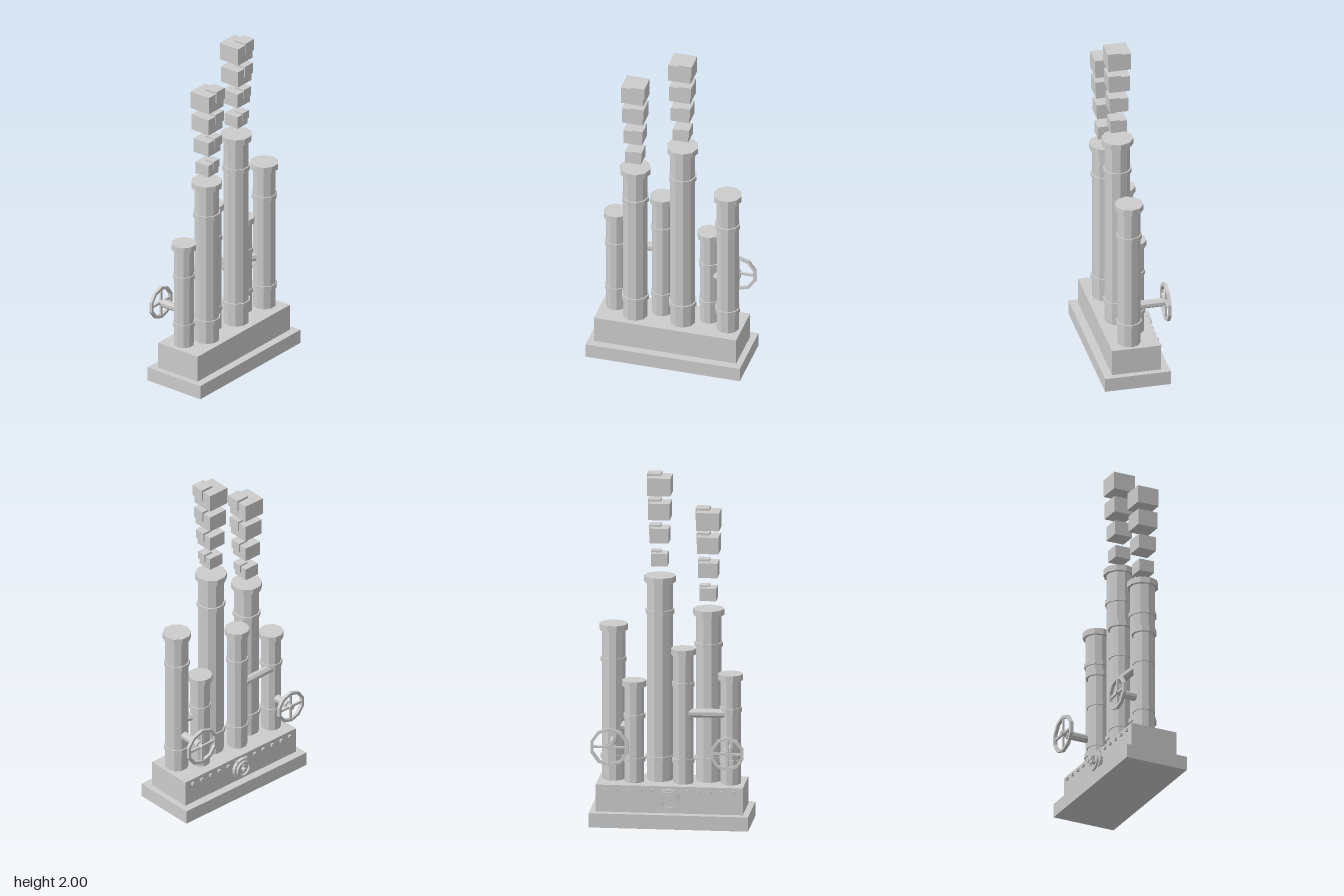
import * as THREE from 'three';

export function createModel() {
  const model = new THREE.Group();
  model.name = 'chimneyStacks';
  const grey = new THREE.MeshStandardMaterial({ color: 0xcccccc, flatShading: true });
  grey.name = 'grey';

  const add = (parent, name, geo, x = 0, y = 0, z = 0) => {
    const mesh = new THREE.Mesh(geo, grey);
    mesh.name = name;
    mesh.position.set(x, y, z);
    parent.add(mesh);
    return mesh;
  };
  const group = (name, x = 0, y = 0, z = 0) => {
    const g = new THREE.Group();
    g.name = name;
    g.position.set(x, y, z);
    model.add(g);
    return g;
  };
  const box = (w, h, d) => new THREE.BoxGeometry(w, h, d);
  // Upright ten-sided drum with corners on the x axis
  const drum = (r, h) => new THREE.CylinderGeometry(r, r, h, 10).rotateY(Math.PI / 10);
  // Cylinder lying along z
  const rod = (r, len, sides = 10) =>
    new THREE.CylinderGeometry(r, r, len, sides).rotateY(Math.PI / sides).rotateX(Math.PI / 2);
  // Flat ring around the z axis
  const ring = (ro, ri, depth, sides) => {
    const h = depth / 2;
    const profile = [[ri, -h], [ro, -h], [ro, h], [ri, h], [ri, -h]].map(p => new THREE.Vector2(...p));
    return new THREE.LatheGeometry(profile, sides).rotateX(Math.PI / 2);
  };

  // Stepped base
  add(model, 'baseSlab', box(0.9, 0.082, 0.378), 0, 0.041, 0.004);
  add(model, 'baseBlock', box(0.83, 0.157, 0.282), 0, 0.1585, 0.004);

  // Row of bolts along the back
  for (let i = 0; i < 12; i++) {
    add(model, 'bolt', box(0.015, 0.015, 0.016), -0.363 + i * 0.066, 0.21, -0.142);
  }

  // Chimneys: x, z, cap radius, top height
  const chimneys = [
    [-0.333, -0.018, 0.071, 0.87],
    [-0.203, 0.042, 0.088, 1.228],
    [-0.068, -0.03, 0.071, 1.012],
    [0.071, 0.034, 0.09, 1.414],
    [0.209, -0.03, 0.069, 0.822],
    [0.332, 0.028, 0.081, 1.132],
  ];
  for (const [x, z, r, top] of chimneys) {
    const g = group('chimney', x, 0, z);
    add(g, 'shaft', drum(r * 0.81, top - 0.24), 0, (top + 0.22) / 2, 0);
    add(g, 'cap', drum(r, 0.035), 0, top - 0.0175, 0);
    add(g, 'upperBand', drum(r * 0.9, 0.026), 0, top - 0.205, 0);
    add(g, 'lowerBand', drum(r * 0.9, 0.026), 0, 0.367, 0);
  }

  // Smoke puffs: a large cube with a smaller one at its upper front corner
  const sizes = [0.092, 0.108, 0.122, 0.131];
  const smoke = [
    [-0.203, 0.044, [1.28, 1.415, 1.555, 1.69]],
    [0.071, 0.035, [1.475, 1.61, 1.745, 1.885]],
  ];
  for (const [x, z, bottoms] of smoke) {
    bottoms.forEach((y, i) => {
      const s = sizes[i];
      const g = group('smokePuff', x, y, z);
      add(g, 'largePuff', box(s, s * 0.78, s), 0, s * 0.39, 0);
      add(g, 'smallPuff', box(s * 0.6, s * 0.52, s * 0.6), s * 0.26, s * 0.62, s * 0.24);
    });
  }

  // Valve wheels at the back: x, y, rim radius, z where the stem meets the chimney
  for (const [x, y, r, zIn] of [[0.332, 0.468, 0.111, -0.02], [-0.332, 0.445, 0.097, -0.05]]) {
    const g = group('valve', x, y, 0);
    add(g, 'stem', rod(0.024, zIn + 0.166, 8), 0, 0, (zIn - 0.166) / 2);
    add(g, 'axle', rod(0.01, 0.04, 8), 0, 0, -0.17);
    add(g, 'hub', rod(0.017, 0.03, 8), 0, 0, -0.184);
    add(g, 'wheelRim', ring(r, r - 0.017, 0.018, 10), 0, 0, -0.184);
    add(g, 'spoke', box(2 * r - 0.02, 0.013, 0.012), 0, 0, -0.184);
    add(g, 'spoke', box(0.013, 2 * r - 0.02, 0.012), 0, 0, -0.184);
  }

  // Cross pipes joining neighbouring chimneys
  const pipe = (a, b) => {
    const from = new THREE.Vector3(...a), to = new THREE.Vector3(...b);
    const geo = new THREE.CylinderGeometry(0.025, 0.025, from.distanceTo(to), 8).rotateY(Math.PI / 8);
    const mesh = add(model, 'crossPipe', geo);
    mesh.position.lerpVectors(from, to, 0.5);
    mesh.quaternion.setFromUnitVectors(new THREE.Vector3(0, 1, 0), to.sub(from).normalize());
  };
  pipe([-0.31, 0.645, -0.044], [-0.09, 0.645, -0.052]);
  pipe([0.21, 0.55, -0.03], [0.332, 0.55, 0.028]);

  // Round gauge on the back of the base
  const gauge = group('gauge', 0, 0.16, 0);
  add(gauge, 'gaugePlate', rod(0.063, 0.02, 16), 0, 0, -0.146);
  add(gauge, 'gaugeRim', ring(0.05, 0.038, 0.013, 16), 0, 0, -0.162);
  add(gauge, 'gaugeNeedle', box(0.008, 0.045, 0.012), 0, 0.008, -0.162);
  add(gauge, 'gaugeHub', rod(0.012, 0.024, 8), 0, 0, -0.167);

  return model;
}
